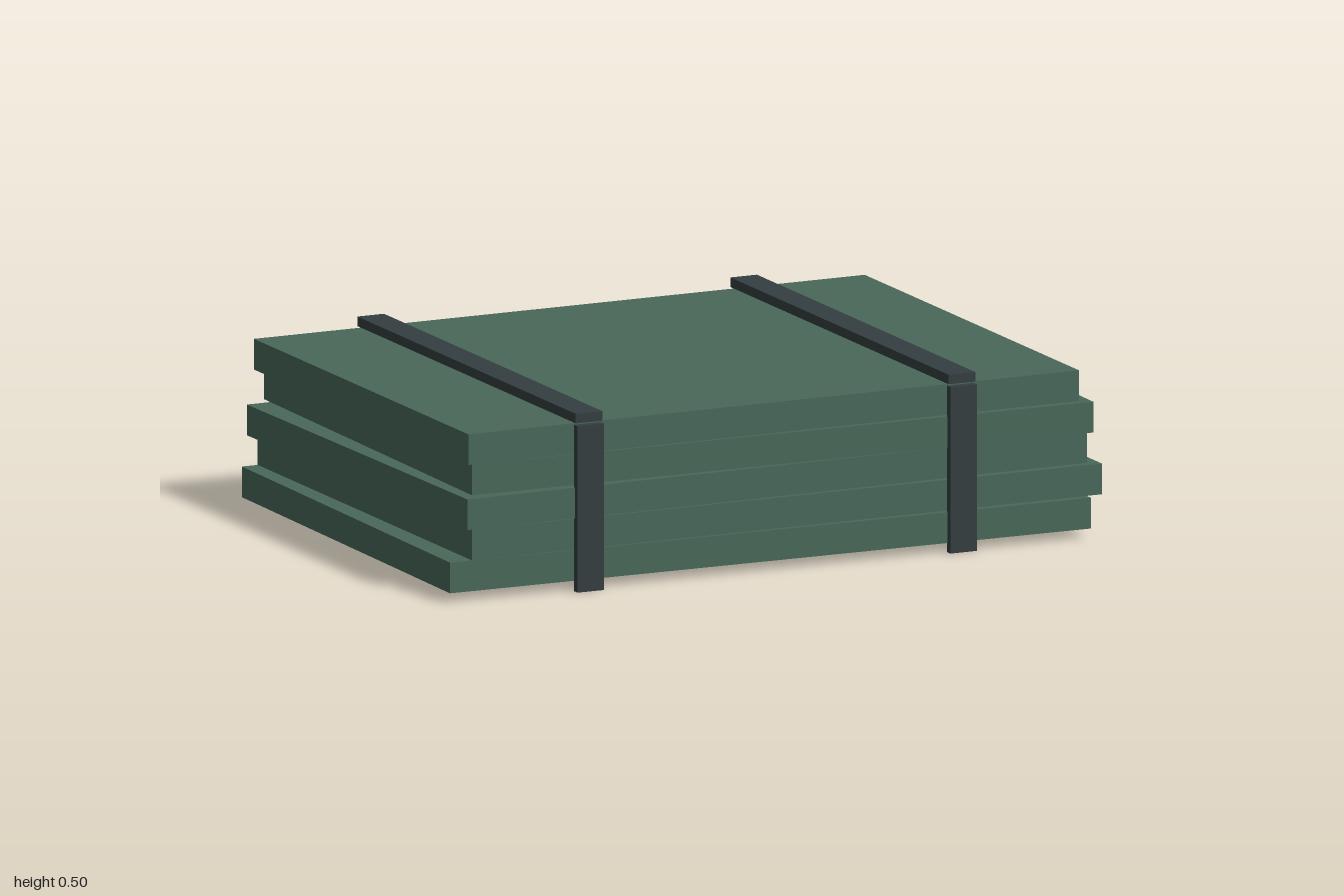
import * as THREE from 'three';

export function createModel() {
  const model = new THREE.Group();
  const panelMat = new THREE.MeshStandardMaterial({ color: 0x48685a });
  const strapMat = new THREE.MeshStandardMaterial({ color: 0x343d40 });

  function addBox(name, material, size, position, turn = 0) {
    const mesh = new THREE.Mesh(new THREE.BoxGeometry(...size), material);
    mesh.name = name;
    mesh.position.set(...position);
    mesh.rotation.y = turn;
    model.add(mesh);
  }

  // Stack of panels: each a little narrower, shifted and turned
  const shifts = [-0.013, 0.028, -0.012, 0.025, -0.013];
  const turns = [-0.014, 0, 0.014, -0.014, 0];
  shifts.forEach((x, i) => {
    const width = 1.96 - i * 0.02;
    addBox(`panel${i + 1}`, panelMat, [width, 0.087, 1.36], [x, 0.07 + i * 0.0905, -0.006], turns[i]);
  });

  // Two straps, each with a top run and a front drop
  [['right', -0.588], ['left', 0.56]].forEach(([side, x]) => {
    addBox(`${side}StrapTop`, strapMat, [0.082, 0.027, 1.386], [x, 0.4915, -0.005]);
    addBox(`${side}StrapFront`, strapMat, [0.082, 0.472, 0.023], [x, 0.236, 0.688]);
  });

  return model;
}
